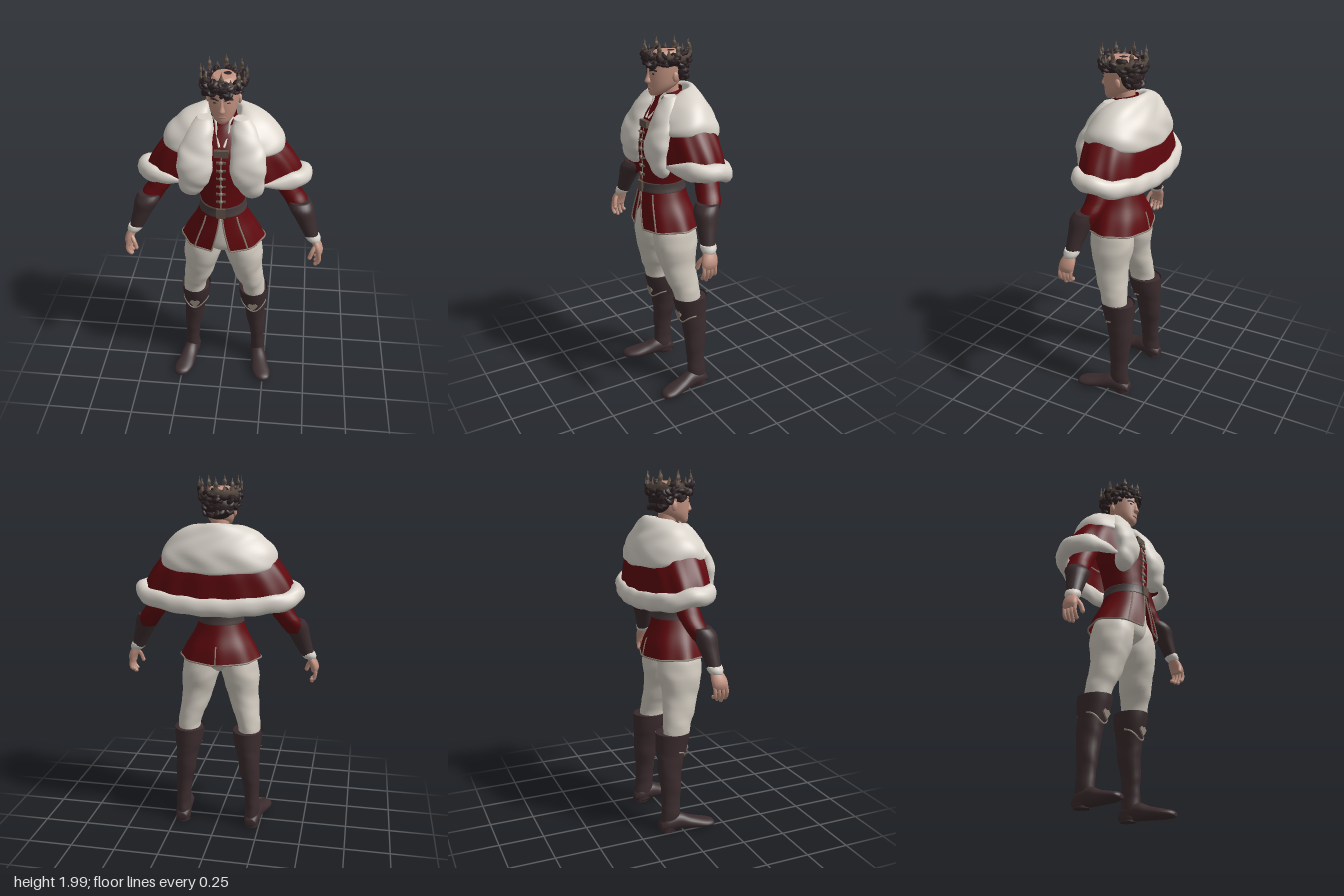
import * as THREE from 'three';

const mat = (name, color, side = THREE.FrontSide) => {
  const m = new THREE.MeshStandardMaterial({ color, side });
  m.name = name;
  return m;
};

// Catmull-Rom interpolation of every column in a table of cross-sections
function at(rows, t) {
  const f = t * (rows.length - 1), i = Math.min(Math.floor(f), rows.length - 2), k = f - i;
  const r = (j) => rows[Math.max(0, Math.min(rows.length - 1, j))];
  return rows[0].map((_, c) => {
    const [a, b, d, e] = [r(i - 1)[c], r(i)[c], r(i + 1)[c], r(i + 2)[c]];
    return b + 0.5 * k * (d - a + k * (2 * a - 5 * b + 4 * d - e + k * (3 * (b - d) + e - a)));
  });
}

// Grid surface from fn(u, v); u can wrap round without a seam
function surface(nu, nv, fn, closed = false) {
  const pos = [], idx = [], w = closed ? nu : nu + 1;
  for (let j = 0; j <= nv; j++) for (let i = 0; i < w; i++) pos.push(...fn(i / nu, j / nv));
  for (let j = 0; j < nv; j++) for (let i = 0; i < nu; i++) {
    const a = j * w + i, b = j * w + ((i + 1) % w), c = a + w, d = b + w;
    idx.push(a, b, d, a, d, c);
  }
  const g = new THREE.BufferGeometry();
  g.setAttribute('position', new THREE.Float32BufferAttribute(pos, 3));
  g.setIndex(idx);
  g.computeVertexNormals();
  return g;
}

// Closed body through horizontal ellipses [x, y, z, rx, rz], listed upwards
function loft(rows, n = 24, sub = 5) {
  const nv = (rows.length - 1) * sub;
  return surface(n, nv + 2, (u, v) => {
    const j = Math.round(v * (nv + 2)), s = j === 0 || j === nv + 2 ? 0 : 1;
    const [x, y, z, rx, rz] = at(rows, Math.max(0, Math.min(1, (j - 1) / nv)));
    const a = u * Math.PI * 2;
    return [x + s * rx * Math.sin(a), y, z + s * rz * Math.cos(a)];
  }, true);
}

// Soft lumps along the normals, for fur and cloth
function ruffle(g, amp, f = 42) {
  const p = g.attributes.position, n = g.attributes.normal;
  for (let i = 0; i < p.count; i++) {
    const x = p.getX(i), y = p.getY(i), z = p.getZ(i);
    const d = amp * (Math.sin(f * x + 2 * Math.sin(f * y)) + Math.sin(f * z + f * 0.8 * y));
    p.setXYZ(i, x + n.getX(i) * d, y + n.getY(i) * d, z + n.getZ(i) * d);
  }
  g.computeVertexNormals();
  return g;
}

const cord = (pts, r, seg = 16) => new THREE.TubeGeometry(
  new THREE.CatmullRomCurve3(pts.map((p) => new THREE.Vector3(...p))), seg, r, 6);
const ball = (x, y, z, rx, ry, rz, n = 12) =>
  new THREE.SphereGeometry(1, n, Math.ceil(n * 0.7)).scale(rx, ry, rz).translate(x, y, z);
const box = (x, y, z, w, h, d) => new THREE.BoxGeometry(w, h, d).translate(x, y, z);

export function createModel() {
  const D = THREE.DoubleSide;
  const fur = mat('fur', 0xd9d3ca, D), red = mat('red cloth', 0x5e080d, D);
  const leather = mat('boot leather', 0x3b2c2e, D), hairM = mat('hair', 0x2e2224);
  const metal = mat('dark gold', 0x5f5146), skin = mat('skin', 0xc0917f);
  const linen = mat('breeches cloth', 0xcfc8bd), trim = mat('trim', 0x8d8074);
  const beltM = mat('belt leather', 0x473b3b), lip = mat('lips', 0x9f6a5f);

  const root = new THREE.Group();
  root.name = 'king';
  const add = (name, g, m) => {
    const mesh = new THREE.Mesh(g, m);
    mesh.name = name;
    root.add(mesh);
  };
  const pair = (name, g, m) => {
    const r = g.clone().scale(-1, 1, 1), ix = r.index.array;
    for (let i = 0; i < ix.length; i += 3) [ix[i], ix[i + 1]] = [ix[i + 1], ix[i]];
    add(name + 'Left', g, m);
    add(name + 'Right', r, m);
  };

  // Legs
  add('pelvis', loft([[0, .92, .03, .03, .06], [0, .97, .03, .12, .115], [0, 1.05, .03, .155, .125], [0, 1.18, .045, .105, .11]]), linen);
  pair('breeches', ruffle(loft([[.175, .54, -.02, .06, .072], [.172, .62, -.01, .066, .08], [.15, .7, .01, .077, .092],
    [.13, .8, .025, .09, .105], [.115, .9, .03, .106, .125], [.1, 1, .03, .1, .12], [.08, 1.08, .03, .07, .1]]), .0015), linen);
  const boot = [[.205, .01, -.075, .042, .052], [.205, .08, -.065, .042, .055], [.205, .14, -.06, .04, .054], [.2, .22, -.058, .044, .055],
    [.19, .32, -.06, .055, .066], [.18, .42, -.055, .063, .074], [.172, .5, -.045, .072, .086], [.17, .575, -.035, .077, .092]];
  pair('boot', ruffle(loft(boot), .0012), leather);
  pair('foot', loft([[.205, -.128, -.03, .028, .022], [.205, -.09, -.045, .044, .044], [.212, -.02, -.052, .045, .05], [.225, .05, -.038, .05, .037],
    [.24, .12, -.029, .055, .028], [.25, .17, -.025, .04, .02], [.252, .188, -.02, .014, .01]]).rotateX(Math.PI / 2), leather);
  pair('heel', new THREE.CylinderGeometry(.043, .041, .035, 16).scale(1, 1, 1.1).translate(.205, .0175, -.082), leather);
  // Folded boot cuff with a point at the front
  const cuff = (a, v) => {
    const dip = .48 - .05 * Math.pow(Math.max(0, Math.cos(a)), 3);
    const y = dip + v * (.582 - dip), k = .004 + .004 * v;
    const [x, , z, rx, rz] = at(boot, Math.min(1, .714 + (y - .42) * .286 / .155));
    return [x + (rx + k) * Math.sin(a), y, z + (rz + k) * Math.cos(a)];
  };
  pair('bootCuff', surface(32, 6, (u, v) => cuff(u * Math.PI * 2, v), true), leather);
  const arc = (fn, a, b, n) => Array.from({ length: n + 1 }, (_, i) => fn(a + (b - a) * i / n));
  pair('bootCuffTrim', cord(arc((a) => cuff(a, 0), -1.4, 1.4, 12), .005, 30), trim);
  pair('bootPlate', new THREE.OctahedronGeometry(1).toNonIndexed() && new THREE.CylinderGeometry(.03, .03, .009, 4)
    .rotateX(Math.PI / 2).scale(1, 1.3, 1).translate(.173, .485, .042), trim);

  // Jacket body and skirt
  add('jacket', ruffle(loft([[0, 1.19, .05, .12, .12], [0, 1.24, .05, .115, .12], [0, 1.34, .04, .142, .125], [0, 1.45, .03, .17, .14],
    [0, 1.55, .01, .18, .14], [0, 1.62, 0, .15, .115], [0, 1.68, 0, .08, .075], [0, 1.71, .005, .058, .058]], 32), .001), red);
  const skirtRows = [[.985, .03, .225, .17], [1.06, .035, .19, .16], [1.14, .045, .147, .14], [1.22, .05, .118, .124]];
  const skirt = (a, v, out = 0) => {
    const [y, z, rx, rz] = at(skirtRows, v), k = 1 + .025 * (1 - v) * Math.cos(8 * a);
    return [(rx * k + out) * Math.sin(a), y + .015 * (1 - v) * Math.sin(a) ** 2, z + (rz * k + out) * Math.cos(a)];
  };
  const split = (v) => .03 + .2 * (1 - v);
  add('jacketSkirt', surface(72, 12, (u, v) => skirt(split(v) + u * (2 * Math.PI - 2 * split(v)), v)), red);
  pair('skirtEdgeTrim', cord(arc((v) => skirt(split(v), v), 0, .9, 6), .005), trim);
  pair('skirtSeamTrim', cord(arc((v) => skirt(.68, v, .002), 0, .85, 6), .005), trim);
  add('skirtHemTrim', cord(arc((a) => skirt(a, 0), split(0), 2 * Math.PI - split(0), 60), .005, 120), trim);
  add('skirtVentTrim', cord(arc((v) => skirt(Math.PI, v, .002), 0, .45, 4), .004), trim);
  add('belt', loft([[0, 1.198, .05, .128, .131], [0, 1.2, .05, .129, .132], [0, 1.222, .05, .124, .129], [0, 1.248, .05, .122, .128]], 32), beltM);
  add('buckle', box(0, 1.223, .18, .05, .056, .014), metal);

  // Jacket fastenings and stand collar
  add('frontSeam', cord([[0, 1.25, .17], [0, 1.34, .166], [0, 1.45, .171], [0, 1.55, .152]], .004), trim);
  for (let i = 0; i < 6; i++) {
    const y = 1.29 + i * .046, z = .168;
    add('claspBar', box(0, y, z, .05, .009, .014), metal);
    add('claspKnob', ball(0, y, z + .006, .011, .011, .008, 8), trim);
  }
  add('brooch', box(0, 1.562, .15, .075, .036, .022), metal);
  add('standCollar', surface(32, 4, (u, v) => {
    const a = .5 + u * (2 * Math.PI - 1), r = .073 - .008 * v;
    return [r * Math.sin(a), 1.645 + .085 * v - .015 * Math.cos(a), .005 + (r + .005) * Math.cos(a)];
  }), red);
  pair('collarTrim', cord([[.05, 1.722, .05], [.036, 1.7, .072], [.03, 1.645, .09], [.012, 1.59, .135]], .006), fur);

  // Arms, bracers and hands
  pair('sleeve', ruffle(loft([[.425, 1.16, .02, .05, .05], [.385, 1.23, -.01, .063, .06], [.325, 1.32, -.03, .07, .06], [.27, 1.43, -.03, .075, .065],
    [.21, 1.54, -.02, .08, .07], [.16, 1.62, -.01, .05, .05]]), .002), red);
  pair('bracer', loft([[.49, 1.02, .052, .036, .038], [.47, 1.07, .046, .045, .043], [.446, 1.13, .036, .055, .053],
    [.422, 1.19, .026, .067, .064], [.408, 1.228, .008, .062, .056]]), leather);
  pair('shirtCuff', loft([[.503, 1.002, .057, .033, .034], [.495, 1.02, .054, .042, .042], [.488, 1.04, .052, .04, .04]], 20, 3), fur);
  pair('palm', loft([[.53, .925, .068, .018, .04], [.53, .95, .066, .024, .044], [.52, .98, .062, .026, .042], [.503, 1.015, .056, .024, .03]], 16), skin);
  for (let i = 0; i < 4; i++) {
    const z = .035 + i * .022, y = .865 + [.018, .003, -.006, .006][i];
    pair('finger', cord([[.53, .945, z], [.537, .91, z + .002], [.53, .885, z + .002], [.517, y, z]], .0105, 8), skin);
    pair('fingertip', ball(.517, y, z, .0105, .0105, .0105, 8), skin);
  }
  pair('thumb', cord([[.512, .985, .085], [.495, .955, .105], [.483, .92, .112]], .012, 8), skin);
  pair('thumbTip', ball(.483, .92, .112, .012, .014, .012, 8), skin);

  // Cape: red cloth, fur hem, fur collar and lapels
  const flat = (c) => Math.sign(c) * Math.abs(c) ** .8;
  const around = (a, [y, rx, rz, back, front]) => {
    const c = Math.cos(a);
    return [rx * Math.sin(a), y - back * Math.max(0, -c) - front * Math.max(0, c), -.02 + rz * flat(c)];
  };
  const sweep = (u, a0) => a0 + u * (2 * Math.PI - 2 * a0);
  const capeRows = [[1.385, .42, .183, .06, 0], [1.46, .388, .18, .05, 0], [1.54, .335, .175, .04, 0], [1.63, .26, .15, .03, 0]];
  add('cape', surface(120, 16, (u, v) => {
    const a = sweep(u, .42), r = at(capeRows, v), k = 1 + .018 * (1 - v * .5) * Math.sin(13 * a + 2 * v);
    return around(a, [r[0], r[1] * k, r[2] * k, r[3], r[4]]);
  }), red);
  add('capeHem', ruffle(surface(14, 110, (u, v) => {
    const a = sweep(v, .45), f = u * 2 * Math.PI, r = .044 * Math.min(1, .05 + 9 * Math.min(v, 1 - v));
    const [x, y, z] = around(a, capeRows[0]);
    return [x + r * Math.cos(f) * Math.sin(a), y - r * 1.1 * Math.sin(f), z + r * .75 * Math.cos(f) * Math.cos(a)];
  }, true), .0025), fur);
  const collarRows = [[1.54, .275, .165, .04, 0], [1.55, .318, .192, .045, 0], [1.62, .297, .182, .03, .02], [1.69, .228, .15, .01, .03],
    [1.738, .14, .115, 0, .05], [1.738, .088, .082, -.01, .07], [1.69, .075, .068, 0, .06]];
  add('furCollar', ruffle(surface(100, 36, (u, v) => around(sweep(u, .45), at(collarRows, v))), .003, 30), fur);
  pair('furLapel', ruffle(loft([[.15, 1.312, .135, .025, .02], [.155, 1.345, .145, .063, .042], [.14, 1.42, .152, .083, .052],
    [.135, 1.5, .152, .09, .054], [.13, 1.58, .122, .085, .05], [.113, 1.66, .082, .068, .048], [.09, 1.72, .045, .04, .035]], 28, 6), .003, 34), fur);

  // Head and face
  add('neck', loft([[0, 1.62, -.01, .055, .055], [0, 1.7, 0, .05, .052], [0, 1.77, .01, .05, .055]]), skin);
  add('head', loft([[0, 1.708, .09, .022, .022], [0, 1.726, .07, .045, .05], [0, 1.76, .042, .067, .08], [0, 1.8, .03, .076, .095],
    [0, 1.85, .025, .08, .1], [0, 1.9, .02, .078, .1], [0, 1.935, .02, .05, .06]], 28), skin);
  add('nose', loft([[0, 1.771, .12, .012, .01], [0, 1.782, .124, .017, .022], [0, 1.808, .122, .01, .015], [0, 1.842, .118, .009, .008]], 12), skin);
  add('mouth', ball(0, 1.746, .117, .022, .0055, .009), lip);
  pair('ear', ball(.08, 1.806, .01, .011, .026, .017), skin);
  pair('eye', ball(.031, 1.824, .114, .012, .0045, .006, 8), hairM);
  pair('eyebrow', cord([[.013, 1.838, .123], [.033, 1.844, .118], [.054, 1.839, .102]], .0045, 8), hairM);

  // Curly hair
  let seed = 7;
  const rnd = () => (seed = (seed * 16807) % 2147483647) / 2147483647;
  add('hairCap', ruffle(ball(0, 1.885, .015, .098, .05, .113, 28), .003, 70), hairM);
  add('hairBack', ball(0, 1.838, -.035, .084, .072, .058, 20), hairM);
  for (let i = 0; i < 120; i++) {
    const a = rnd() * 2 * Math.PI, c = Math.cos(a);
    const low = c > .35 ? 1.868 : 1.84 + .08 * Math.min(0, c), y = low + rnd() * (1.925 - low);
    const k = y > 1.87 ? .95 : .84, r = .014 + rnd() * .01;
    const g = new THREE.TorusGeometry(r * .75, r * .55, 6, 9).rotateX(rnd() * 3).rotateY(rnd() * 6);
    add('curl', g.translate(.102 * k * Math.sin(a), y, .018 + .118 * k * c), hairM);
  }

  // Crown with alternating tall and short points
  const ring = (a, v) => [(.108 + .006 * v) * Math.sin(a), 1.888 + .036 * v, .015 + (.119 + .006 * v) * Math.cos(a)];
  const wall = [[0, 0], [.5, 1], [1, 0]];
  add('crownBand', surface(40, 4, (u, v) => {
    const [x, y, z] = ring(u * 2 * Math.PI, v), k = 1 + .03 * at(wall, v)[1];
    return [x * k, y, .015 + (z - .015) * k];
  }, true), metal);
  for (let i = 0; i < 16; i++) {
    const a = i * Math.PI / 8, tall = i % 2 === 0, h = tall ? .074 : .036, [x, y, z] = ring(a, 1);
    const spike = new THREE.ConeGeometry(tall ? .017 : .013, h, 4).scale(1, 1, .5).translate(0, h / 2 - .006, 0);
    add('crownPoint', spike.rotateY(a).translate(x, y, z), metal);
    if (tall) add('crownBead', new THREE.SphereGeometry(.013, 6, 4).scale(1, 1.3, .6).translate(0, .026, 0).rotateY(a).translate(x, y, z), metal);
  }
  return root;
}
